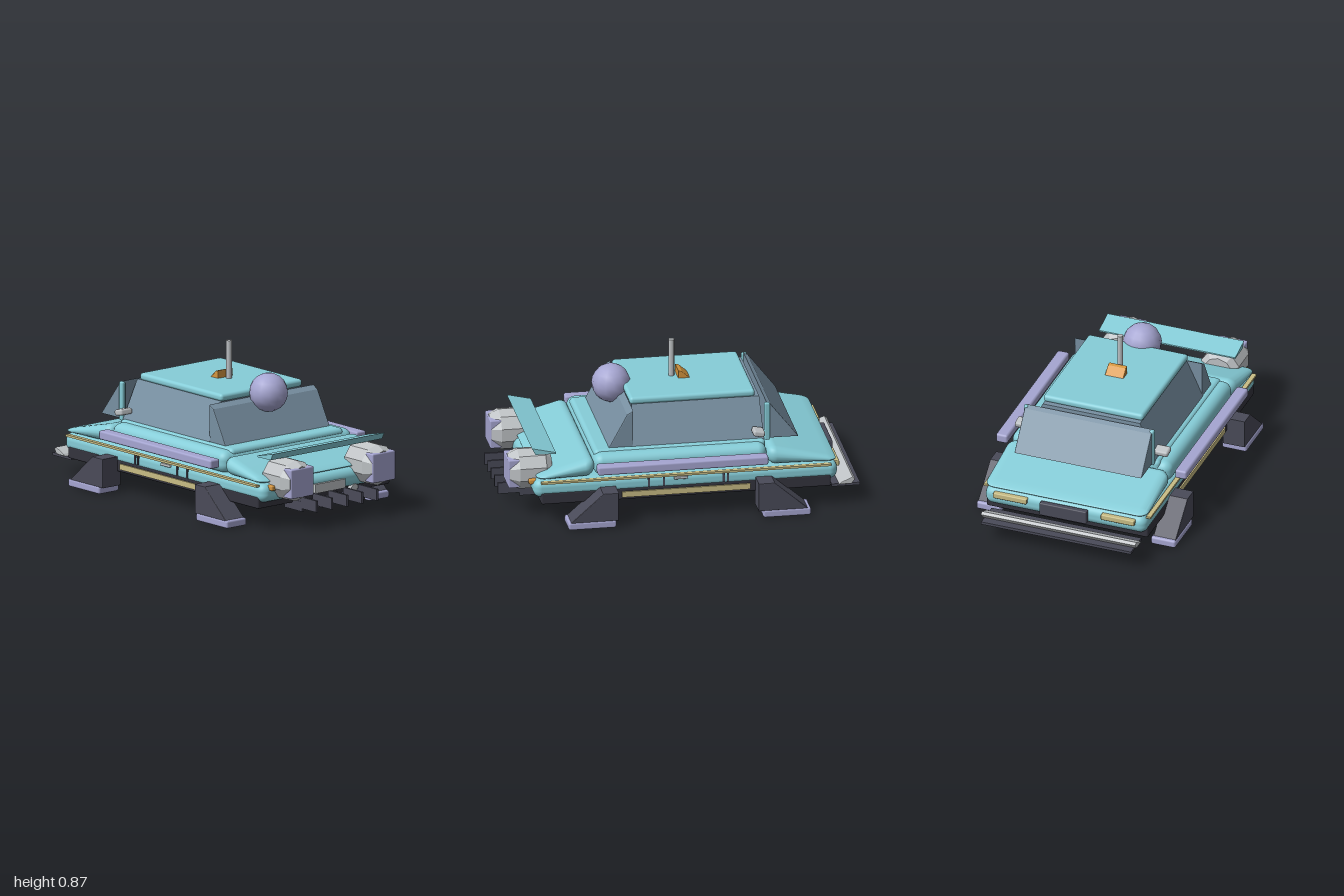
import * as THREE from 'three';
import { mergeVertices } from 'three/addons/utils/BufferGeometryUtils.js';
import { RoundedBoxGeometry } from 'three/addons/geometries/RoundedBoxGeometry.js';

const mat = (name, color, flatShading = false) => {
  const m = new THREE.MeshStandardMaterial({ color, flatShading });
  m.name = name;
  return m;
};

export function createModel() {
  const model = new THREE.Group();
  model.name = 'hoverCar';
  const teal = mat('teal paint', 0x86cdd8);
  const glass = mat('smoky blue glass', 0x7890a2);
  const dark = mat('dark slate', 0x4a4b59);
  const black = mat('underbody black', 0x34343e);
  const lilac = mat('lilac', 0xa6a6d2);
  const grey = mat('light grey', 0xbfc3c6);
  const gold = mat('pale gold', 0xc9bd85);
  const orange = mat('amber', 0xd6963f);

  const add = (name, geo, m, x = 0, y = 0, z = 0) => {
    const mesh = new THREE.Mesh(geo, m);
    mesh.name = name;
    mesh.position.set(x, y, z);
    model.add(mesh);
    return mesh;
  };
  // box given by its limits, with optional rounded edges
  const box = (name, m, [x0, x1], [y0, y1], [z0, z1], r = 0) => {
    const s = [x1 - x0, y1 - y0, z1 - z0];
    const geo = r ? new RoundedBoxGeometry(...s, r > 0.015 ? 4 : 1, r) : new THREE.BoxGeometry(...s);
    return add(name, geo, m, (x0 + x1) / 2, (y0 + y1) / 2, (z0 + z1) / 2);
  };
  // side profile of [z, y] points extruded across x
  const prism = (name, m, pts, x0, x1, b = 0) => {
    const shape = new THREE.Shape(pts.map(([z, y]) => new THREE.Vector2(z, y)));
    const geo = new THREE.ExtrudeGeometry(shape, {
      depth: x1 - x0 - 2 * b, bevelEnabled: b > 0, bevelSize: b, bevelThickness: b, bevelOffset: -b, bevelSegments: 2,
    });
    geo.rotateY(-Math.PI / 2);
    return add(name, geo, m, x1 - b);
  };
  // rounded block whose height shrinks from z0 to z1 over a flat base
  const taperedDeck = (name, z0, z1) => {
    const len = Math.abs(z1 - z0), dir = Math.sign(z1 - z0);
    let geo = new RoundedBoxGeometry(0.96, 0.115, len, 4, 0.054);
    const p = geo.attributes.position;
    for (let i = 0; i < p.count; i++) {
      const t = 0.5 + (dir * p.getZ(i)) / len;
      p.setY(i, (p.getY(i) + 0.0575) * (1 - 0.82 * t));
    }
    geo.deleteAttribute('normal');
    geo.deleteAttribute('uv');
    geo = mergeVertices(geo);
    geo.computeVertexNormals();
    add(name, geo, teal, 0, 0.262, (z0 + z1) / 2);
  };

  // Main body
  box('chassis', black, [-0.48, 0.48], [0.12, 0.19], [-0.83, 0.8], 0.01);
  box('lowerBody', teal, [-0.48, 0.48], [0.155, 0.262], [-0.87, 0.84], 0.045);
  box('middleBody', teal, [-0.475, 0.475], [0.262, 0.385], [-0.475, 0.5], 0.05);
  box('beltDeck', teal, [-0.41, 0.41], [0.33, 0.395], [-0.475, 0.49], 0.025);
  taperedDeck('frontHood', 0.495, 0.82);
  taperedDeck('rearDeck', -0.475, -0.865);

  // Cabin: a tapered block with wedge-shaped windscreens
  const cabinGeo = new THREE.BoxGeometry(0.77, 0.22, 0.74);
  const cp = cabinGeo.attributes.position;
  for (let i = 0; i < cp.count; i++) {
    if (cp.getY(i) > 0) cp.setXYZ(i, cp.getX(i) * 0.75, cp.getY(i), cp.getZ(i) * 0.97);
  }
  cabinGeo.computeVertexNormals();
  add('cabinGlass', cabinGeo, glass, 0, 0.5, -0.1);
  prism('frontWindscreen', glass, [[0.405, 0.39], [0.3, 0.585], [0.265, 0.605], [0.265, 0.39]], -0.38, 0.38, 0.006);
  prism('rearWindscreen', glass, [[-0.485, 0.39], [-0.485, 0.605], [-0.51, 0.59], [-0.665, 0.39]], -0.378, 0.378, 0.006);
  box('roof', teal, [-0.297, 0.297], [0.608, 0.65], [-0.435, 0.27], 0.018);

  // Roof fittings
  add('antenna', new THREE.CylinderGeometry(0.017, 0.017, 0.22, 8), grey, 0, 0.755, -0.015);
  add('roofBall', new THREE.SphereGeometry(0.109, 14, 10), lilac, 0, 0.63, 0.325);
  prism('roofBeacon', orange, [[-0.045, 0.645], [-0.045, 0.695], [-0.065, 0.69], [-0.115, 0.645]], -0.055, 0.055, 0.006);

  // Front wing resting on the pods
  prism('frontWing', teal, [[0.84, 0.43], [0.705, 0.398], [0.705, 0.39], [0.82, 0.392]], -0.405, 0.405);

  // Front teeth in two rows
  for (let i = -2; i <= 2; i++) {
    box('frontTooth', dark, [i * 0.11 - 0.007, i * 0.11 + 0.007], [0.1, 0.165], [0.84, 1]);
  }
  for (let i = -1.5; i <= 1.5; i++) {
    box('lowerTooth', dark, [i * 0.148 - 0.007, i * 0.148 + 0.007], [0.083, 0.14], [0.73, 0.88]);
  }
  box('frontPlate', grey, [-0.11, 0.11], [0.163, 0.215], [0.83, 0.855]);
  const pipe = add('pipe', new THREE.CylinderGeometry(0.026, 0.026, 0.08, 10), grey, 0.2, 0.143, 0.79);
  pipe.rotation.x = Math.PI / 2;

  // Rear bumper, blade and plate
  box('rearBumper', dark, [-0.445, 0.445], [0.102, 0.118], [-1, -0.84]);
  prism('rearBlade', grey, [[-0.88, 0.118], [-0.89, 0.13], [-0.955, 0.158], [-0.97, 0.145], [-0.95, 0.118]], -0.46, 0.46, 0.004);
  box('rearPlate', dark, [-0.14, 0.14], [0.172, 0.25], [-0.9, -0.865], 0.006);

  // Mirrored parts
  for (const s of [-1, 1]) {
    const span = (a, b) => (s > 0 ? [a, b] : [-b, -a]);

    // Front engine pod
    const podGeo = new THREE.LatheGeometry(
      [[0, 0], [0.085, 0], [0.117, 0.035], [0.117, 0.185], [0.09, 0.24], [0, 0.24]].map(([r, y]) => new THREE.Vector2(r, y)), 10
    ).toNonIndexed();
    podGeo.computeVertexNormals();
    podGeo.rotateX(Math.PI / 2);
    add('pod', podGeo, grey, s * 0.297, 0.275, 0.72);
    box('podFace', lilac, span(0.213, 0.381), [0.19, 0.357], [0.9, 0.967], 0.008);

    // Rails, trim and lamps
    box('sideRail', lilac, span(0.497, 0.567), [0.305, 0.357], [-0.465, 0.495], 0.012);
    box('trimStrip', gold, span(0.47, 0.496), [0.246, 0.258], [-0.83, 0.8]);
    box('sillStrip', gold, span(0.46, 0.488), [0.137, 0.17], [-0.375, 0.345]);
    for (const z of [0.195, 0.11, -0.225, -0.25]) {
      box('doorSeam', dark, span(0.47, 0.486), [0.19, 0.246], [z - 0.006, z + 0.006]);
    }
    box('doorHandle', grey, span(0.475, 0.492), [0.224, 0.24], [-0.025, 0.055], 0.005);
    box('frontIndicator', orange, span(0.395, 0.43), [0.225, 0.255], [0.815, 0.86], 0.008);
    box('rearLamp', gold, span(0.22, 0.42), [0.213, 0.246], [-0.888, -0.85], 0.006);

    // Rear posts and mirrors
    box('rearPost', teal, span(0.36, 0.387), [0.38, 0.603], [-0.505, -0.472], 0.01);
    const mirror = box('mirror', grey, span(0.37, 0.455), [0.428, 0.463], [-0.465, -0.4], 0.012);
    mirror.rotation.x = -0.2;

    // Wedge legs on padded feet
    const [lx0, lx1] = span(0.455, 0.587);
    prism('frontLeg', dark, [[0.382, 0.04], [0.655, 0.04], [0.47, 0.205], [0.382, 0.205]], lx0, lx1, 0.004);
    prism('rearLeg', dark, [[-0.405, 0.04], [-0.405, 0.205], [-0.495, 0.205], [-0.685, 0.04]], lx0, lx1, 0.004);
    box('frontFoot', lilac, span(0.445, 0.592), [0, 0.045], [0.395, 0.665], 0.012);
    box('rearFoot', lilac, span(0.445, 0.592), [0, 0.045], [-0.7, -0.43], 0.012);
  }
  return model;
}
